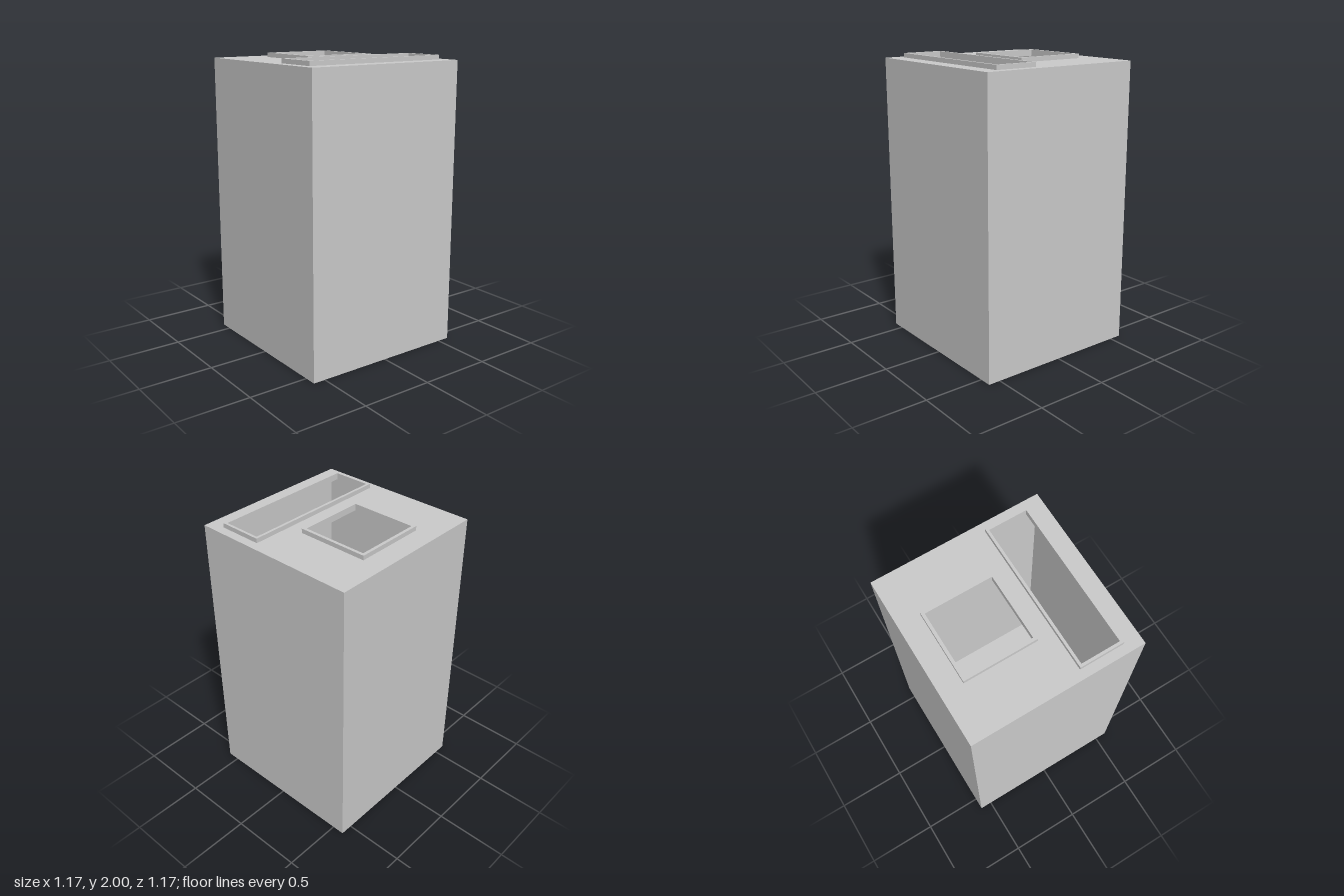
import * as THREE from 'three';

const HALF = 0.585;   // half width of the body
const TOP = 1.97;     // height of the top panel
const RIM_TOP = 2.0, RIM_BOTTOM = 1.955;

// Openings: centre x, half sizes and rim thickness
const openings = [
  { name: 'squareRim', x: -0.185, hx: 0.249, hz: 0.249, t: 0.021 },
  { name: 'slotRim', x: 0.323, hx: 0.15, hz: 0.524, t: 0.018 },
];

function rect(Type, x, hx, hy) {
  return new Type([
    new THREE.Vector2(x - hx, -hy), new THREE.Vector2(x + hx, -hy),
    new THREE.Vector2(x + hx, hy), new THREE.Vector2(x - hx, hy),
  ]);
}

export function createModel() {
  const model = new THREE.Group();
  const material = new THREE.MeshStandardMaterial({ color: 0xcccccc, side: THREE.DoubleSide });

  function add(name, geometry, parent = model) {
    const mesh = new THREE.Mesh(geometry, material);
    mesh.name = name;
    parent.add(mesh);
    return mesh;
  }

  // Hollow body: four thin walls and a floor
  const body = new THREE.Group();
  body.name = 'body';
  model.add(body);
  ['frontWall', 'leftWall', 'backWall', 'rightWall'].forEach((name, i) => {
    const wall = new THREE.PlaneGeometry(HALF * 2, TOP);
    wall.translate(0, TOP / 2, HALF).rotateY(i * Math.PI / 2);
    add(name, wall, body);
  });
  add('floor', new THREE.PlaneGeometry(HALF * 2, HALF * 2).rotateX(Math.PI / 2), body);

  // Top panel, cut through under each rim
  const panel = rect(THREE.Shape, 0, HALF, HALF);
  for (const o of openings) panel.holes.push(rect(THREE.Path, o.x, o.hx, o.hz));
  add('topPanel', new THREE.ShapeGeometry(panel).rotateX(-Math.PI / 2).translate(0, TOP, 0), body);

  // Raised rims reaching a little below the panel
  for (const o of openings) {
    const ring = rect(THREE.Shape, o.x, o.hx, o.hz);
    ring.holes.push(rect(THREE.Path, o.x, o.hx - o.t, o.hz - o.t));
    const rim = new THREE.ExtrudeGeometry(ring, { depth: RIM_TOP - RIM_BOTTOM, bevelEnabled: false });
    add(o.name, rim.rotateX(-Math.PI / 2).translate(0, RIM_BOTTOM, 0));
  }
  return model;
}
